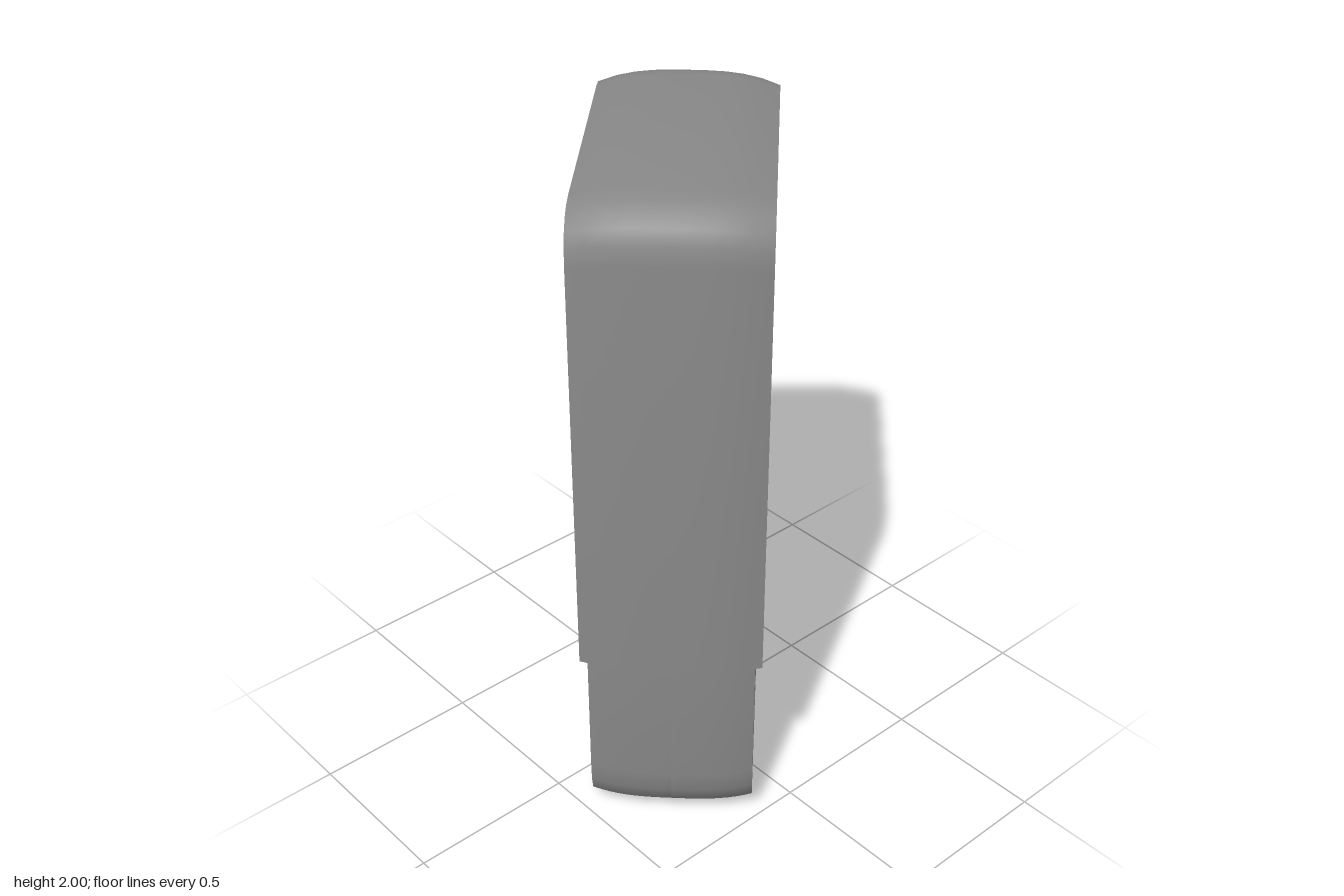
import * as THREE from 'three';
import { toCreasedNormals } from 'three/addons/utils/BufferGeometryUtils.js';

const shell = new THREE.MeshStandardMaterial({ color: 0x888888 });
shell.name = 'shellGrey';
const dark = new THREE.MeshStandardMaterial({ color: 0x303030 });
dark.name = 'slotDark';

// Outline in width and height; separate corner radii for bottom and top
function outline(halfWidth, y0, y1, rBottom, rTop) {
  const s = new THREE.Shape();
  const w = halfWidth;
  s.moveTo(-w + rBottom, y0);
  s.lineTo(w - rBottom, y0);
  if (rBottom) s.quadraticCurveTo(w, y0, w, y0 + rBottom);
  s.lineTo(w, y1 - rTop);
  if (rTop) s.quadraticCurveTo(w, y1, w - rTop, y1);
  s.lineTo(-w + rTop, y1);
  if (rTop) s.quadraticCurveTo(-w, y1, -w, y1 - rTop);
  s.lineTo(-w, y0 + rBottom);
  if (rBottom) s.quadraticCurveTo(-w, y0, -w + rBottom, y0);
  return s;
}

// Extrude from z0 to z1, then pull the edges in towards the broad faces
function softBody(shape, z0, z1, yFixed, sideInset, capInset) {
  const g = new THREE.ExtrudeGeometry(shape, {
    depth: z1 - z0, steps: 10, bevelEnabled: false, curveSegments: 5,
  });
  g.translate(0, 0, z0);
  const p = g.attributes.position;
  for (let i = 0; i < p.count; i++) {
    const t = Math.abs(p.getZ(i) / z1) ** 3;
    p.setX(i, p.getX(i) * (1 - sideInset * t));
    p.setY(i, yFixed + (p.getY(i) - yFixed) * (1 - capInset * t));
  }
  return toCreasedNormals(g, 0.55);
}

function add(parent, name, geometry, material) {
  const mesh = new THREE.Mesh(geometry, material);
  mesh.name = name;
  parent.add(mesh);
  return mesh;
}

function plate(parent, name, x0, x1, y0, y1, z, thick, material) {
  const m = add(parent, name, new THREE.BoxGeometry(x1 - x0, y1 - y0, thick), material);
  m.position.set((x0 + x1) / 2, (y0 + y1) / 2, z);
  return m;
}

export function createModel() {
  const model = new THREE.Group();
  model.name = 'capsuleCase';
  const body = new THREE.Group();
  body.name = 'body';
  body.rotation.y = Math.PI / 4;
  model.add(body);

  // Large upper cover
  add(body, 'upperCover',
    softBody(outline(0.522, 0.6, 2, 0, 0.14), -0.257, 0.257, 0.6, 0.055, 0.022), shell);

  // Lower section in two matching halves, each with a recessed window
  const [x0, x1, y0, y1] = [-0.18, 0.25, 0.18, 0.54];
  for (const turn of [0, Math.PI]) {
    const half = new THREE.Group();
    half.name = turn ? 'lowerBackHalf' : 'lowerFrontHalf';
    half.rotation.y = turn;
    body.add(half);

    const shape = outline(0.497, 0, 0.62, 0.19, 0);
    const hole = new THREE.Path();
    hole.moveTo(x0, y0);
    hole.lineTo(x0, y1);
    hole.lineTo(x1, y1);
    hole.lineTo(x1, y0);
    hole.closePath();
    shape.holes.push(hole);
    add(half, 'lowerShell', softBody(shape, 0, 0.237, 0.62, 0.05, 0.02), shell);

    // Window floor and its four slots
    plate(half, 'windowFloor', x0 - 0.01, x1 + 0.01, y0 - 0.01, y1 + 0.01, 0.178, 0.02, shell);
    for (const y of [0.19, 0.35]) {
      plate(half, 'slot', x0, -0.06, y, y + 0.06, 0.189, 0.006, dark);
      plate(half, 'slot', 0.1, x1 - 0.01, y, y + 0.06, 0.189, 0.006, dark);
    }
  }

  // Fine seams on one narrow side
  const upperSeam = plate(body, 'upperSeam', 0.519, 0.524, 1.55, 1.86, 0.057, 0.008, dark);
  upperSeam.name = 'upperSeam';
  plate(body, 'lowerSeam', 0.493, 0.498, 0.22, 0.58, 0.08, 0.006, dark);

  // Small hole underneath
  const pin = add(body, 'bottomHole', new THREE.CylinderGeometry(0.022, 0.022, 0.004, 10), dark);
  pin.position.y = 0.002;

  return model;
}
